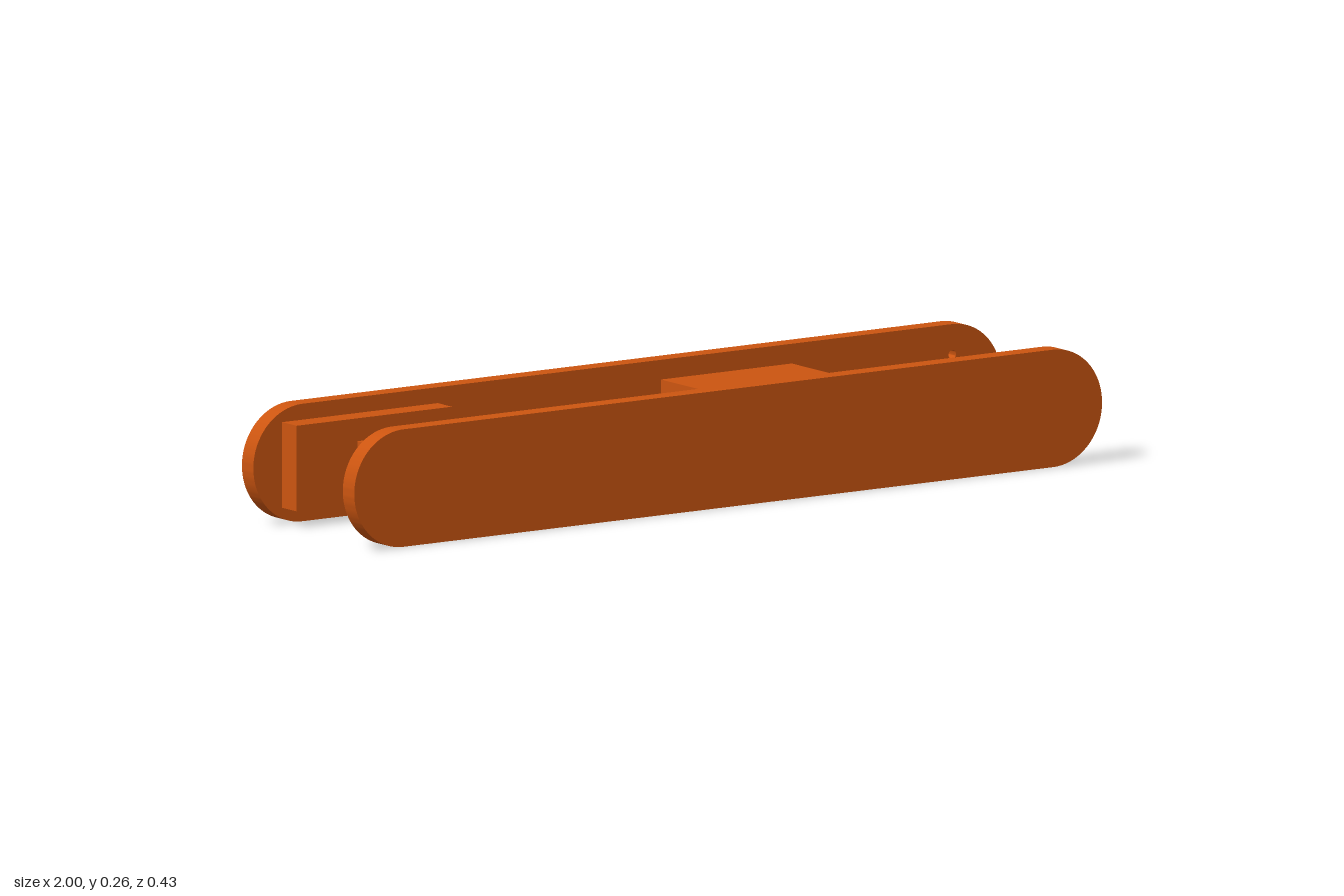
import * as THREE from 'three';
import { toCreasedNormals } from 'three/addons/utils/BufferGeometryUtils.js';

const R = 0.131;          // end radius, also the mid height
const END = 1 - R;        // x of the rounded end centres
const INNER = 0.172;      // inner face of each side plate
const OUTER = 0.216;

export function createModel() {
  const model = new THREE.Group();
  model.name = 'armLink';
  const material = new THREE.MeshStandardMaterial({ color: 0xcc5510 });

  const add = (name, geometry, x, y, z) => {
    const mesh = new THREE.Mesh(geometry, material);
    mesh.name = name;
    mesh.position.set(x, y, z);
    model.add(mesh);
    return mesh;
  };

  // Stadium-shaped plate with round holes given as [x, y, radius]
  const plate = (holes) => {
    const shape = new THREE.Shape();
    shape.absarc(END, 0, R, -Math.PI / 2, Math.PI / 2, false);
    shape.absarc(-END, 0, R, Math.PI / 2, Math.PI * 1.5, false);
    shape.closePath();
    for (const [x, y, r] of holes) {
      const hole = new THREE.Path();
      hole.absarc(x, y, r, 0, Math.PI * 2, true);
      shape.holes.push(hole);
    }
    const geometry = new THREE.ExtrudeGeometry(shape, {
      depth: OUTER - INNER, bevelEnabled: false, curveSegments: 32,
    });
    return toCreasedNormals(geometry, 0.6);
  };

  // Servo horn hole, its four screw holes, and two holes over the spacer
  const holes = [[END, 0, 0.027], [0.178, 0, 0.022], [0.352, 0, 0.022]];
  for (let i = 0; i < 4; i++) {
    const a = i * Math.PI / 2;
    holes.push([END + 0.063 * Math.cos(a), 0.063 * Math.sin(a), 0.01]);
  }
  add('frontPlate', plate([]), 0, R, INNER);
  add('backPlate', plate(holes), 0, R, -OUTER);

  // Spacer block joining the plates
  add('spacerBlock', new THREE.BoxGeometry(0.35, 0.174, INNER * 2), 0.265, R, 0);

  // Raised pads on the inner faces
  for (const [name, side] of [['frontPad', 1], ['backPad', -1]]) {
    add(name, new THREE.BoxGeometry(0.416, 0.191, 0.055), -0.715, R, side * (INNER - 0.0275));
  }

  // Pivot pin and its shoulder on the front plate
  const pivot = (name, radius, z0, z1) => {
    const geometry = new THREE.CylinderGeometry(radius, radius, z1 - z0, 40);
    add(name, geometry, END - 0.002, R, (z0 + z1) / 2).rotation.x = Math.PI / 2;
  };
  pivot('pivotShoulder', 0.034, 0.168, INNER);
  pivot('pivotPin', 0.01, 0.105, 0.168);

  return model;
}
